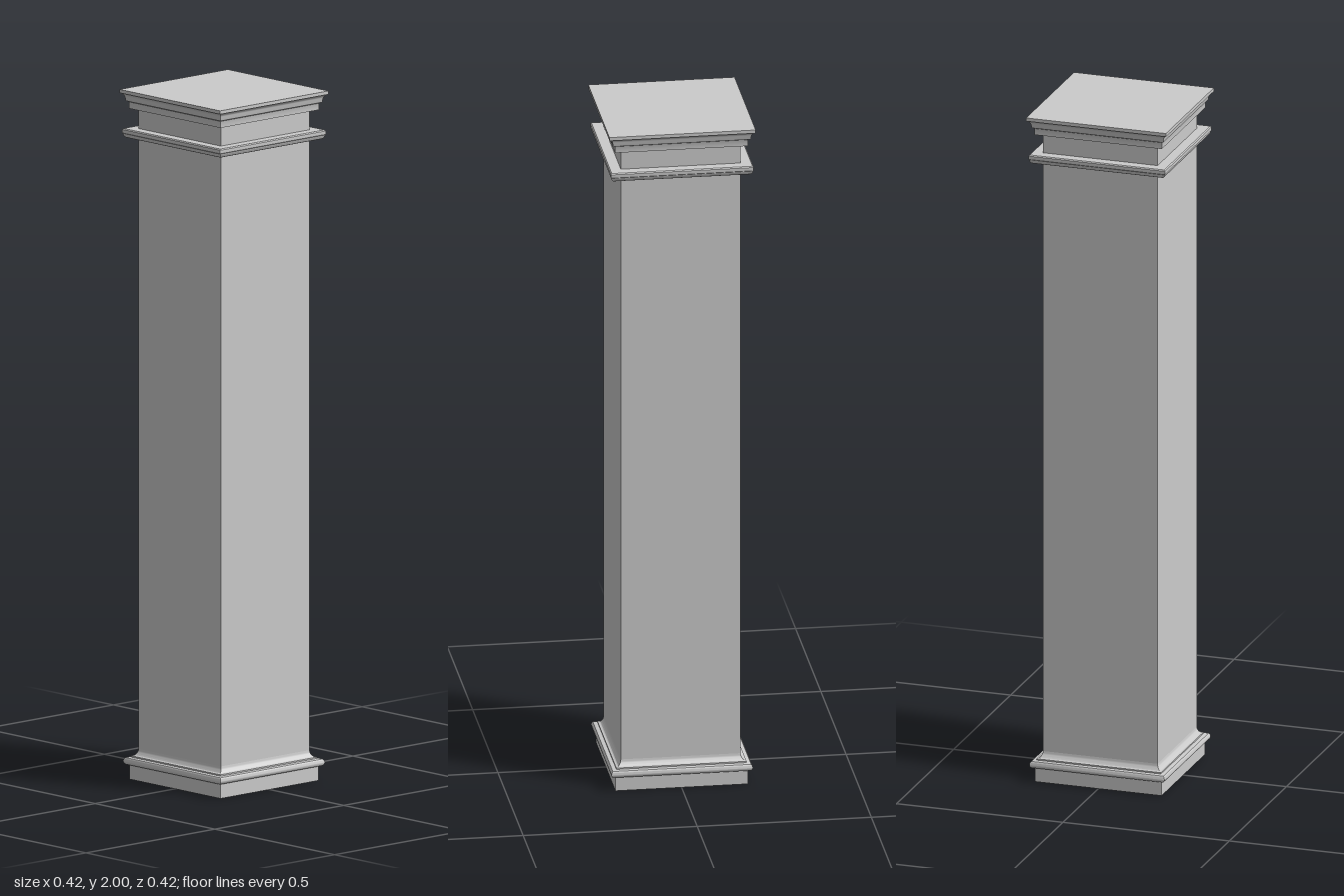
import * as THREE from 'three';
import { toCreasedNormals } from 'three/addons/utils/BufferGeometryUtils.js';

const material = new THREE.MeshStandardMaterial({ color: 0xcccccc });
const SHAFT = 0.172; // half width of the shaft

// Sweep a profile of [half width, height] pairs, bottom to top, round a square plan
function squareTurned(name, profile) {
  const points = profile.map(([w, y]) => new THREE.Vector2(w * Math.SQRT2, y));
  const lathe = new THREE.LatheGeometry(points, 4, Math.PI / 4);
  const mesh = new THREE.Mesh(toCreasedNormals(lathe, Math.PI / 6), material);
  mesh.name = name;
  return mesh;
}

// Elliptical arc of profile points, angles in degrees
function arc(cx, cy, rx, ry, from, to, steps = 6) {
  return Array.from({ length: steps + 1 }, (_, i) => {
    const a = THREE.MathUtils.degToRad(from + ((to - from) * i) / steps);
    return [cx + rx * Math.cos(a), cy + ry * Math.sin(a)];
  });
}

export function createModel() {
  const group = new THREE.Group();
  group.name = 'squareColumn';

  // Plain block with a rounded bead and a small cove running into the shaft
  group.add(squareTurned('base', [
    [0, 0], [0.19, 0], [0.19, 0.042],
    ...arc(0.194, 0.053, 0.009, 0.011, -90, 90),
    [0.187, 0.064], [0.187, 0.068],
    ...arc(0.187, 0.088, 0.015, 0.02, 270, 180),
  ]));

  group.add(squareTurned('shaft', [[SHAFT, 0.085], [SHAFT, 1.95]]));

  // Collar: cove underneath, rounded edge, flat top
  group.add(squareTurned('collar', [
    [SHAFT, 1.86], [0.193, 1.86],
    ...arc(0.193, 1.872, 0.01, 0.012, -90, 0),
    [0.205, 1.874], [0.205, 1.884], [0.202, 1.887], [SHAFT, 1.887],
  ]));

  // Capital: stepped band below a flaring crown and a thin top slab
  group.add(squareTurned('capital', [
    [SHAFT, 1.945], [0.191, 1.945], [0.191, 1.964], [0.197, 1.967],
    ...arc(0.209, 1.969, 0.011, 0.021, 180, 90),
    [0.21, 1.99], [0.21, 2], [0, 2],
  ]));

  return group;
}
